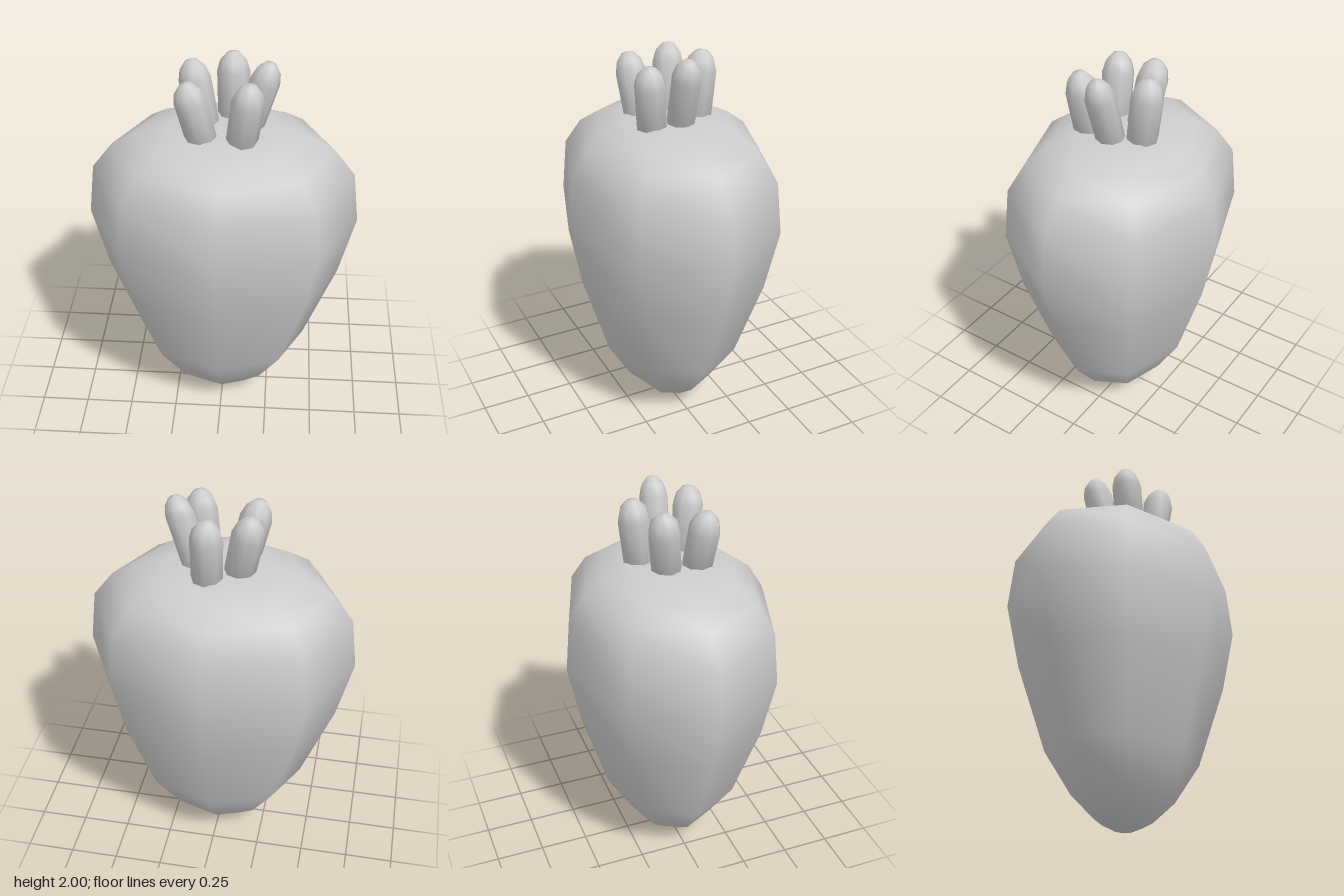
import * as THREE from 'three';

const material = new THREE.MeshStandardMaterial({ color: 0xcccccc });

// Smooth-shaded eight-sided solid of revolution from [radius, height] pairs
function turned(name, profile) {
  const points = profile.map(([r, y]) => new THREE.Vector2(r, y));
  const mesh = new THREE.Mesh(new THREE.LatheGeometry(points, 8), material);
  mesh.name = name;
  return mesh;
}

// Round-tipped stalk from a base point to a tip point
function stalk(base, tip, r) {
  const from = new THREE.Vector3(...base);
  const axis = new THREE.Vector3(...tip).sub(from);
  const len = axis.length();
  const mesh = turned('stalk', [
    [0, 0], [r * 0.96, 0], [r, len - 0.1], [r * 0.8, len - 0.045], [r * 0.4, len - 0.008], [0, len],
  ]);
  mesh.position.copy(from);
  mesh.quaternion.setFromUnitVectors(new THREE.Vector3(0, 1, 0), axis.normalize());
  return mesh;
}

export function createModel() {
  const model = new THREE.Group();
  model.name = 'rootVegetable';

  // Tapering root, flattened front to back
  const root = turned('root', [
    [0, 0], [0.06, 0.005], [0.165, 0.05], [0.295, 0.16], [0.445, 0.365], [0.61, 0.8],
    [0.69, 1.13], [0.658, 1.4], [0.555, 1.535], [0.43, 1.61], [0.26, 1.658], [0, 1.66],
  ]);
  root.scale.z = 0.79;
  model.add(root);

  // Ring of cut stalks leaning outwards: base, tip, radius
  const stalks = new THREE.Group();
  stalks.name = 'stalks';
  [
    [[0.12, 1.63, -0.01], [0.228, 2.0, 0], 0.073],
    [[0.045, 1.63, -0.135], [0.04, 1.975, -0.17], 0.081],
    [[-0.095, 1.63, -0.045], [-0.16, 1.967, -0.085], 0.08],
    [[-0.095, 1.63, 0.11], [-0.168, 1.947, 0.134], 0.08],
    [[0.096, 1.63, 0.13], [0.138, 1.962, 0.16], 0.08],
  ].forEach((s) => stalks.add(stalk(...s)));
  model.add(stalks);

  return model;
}
